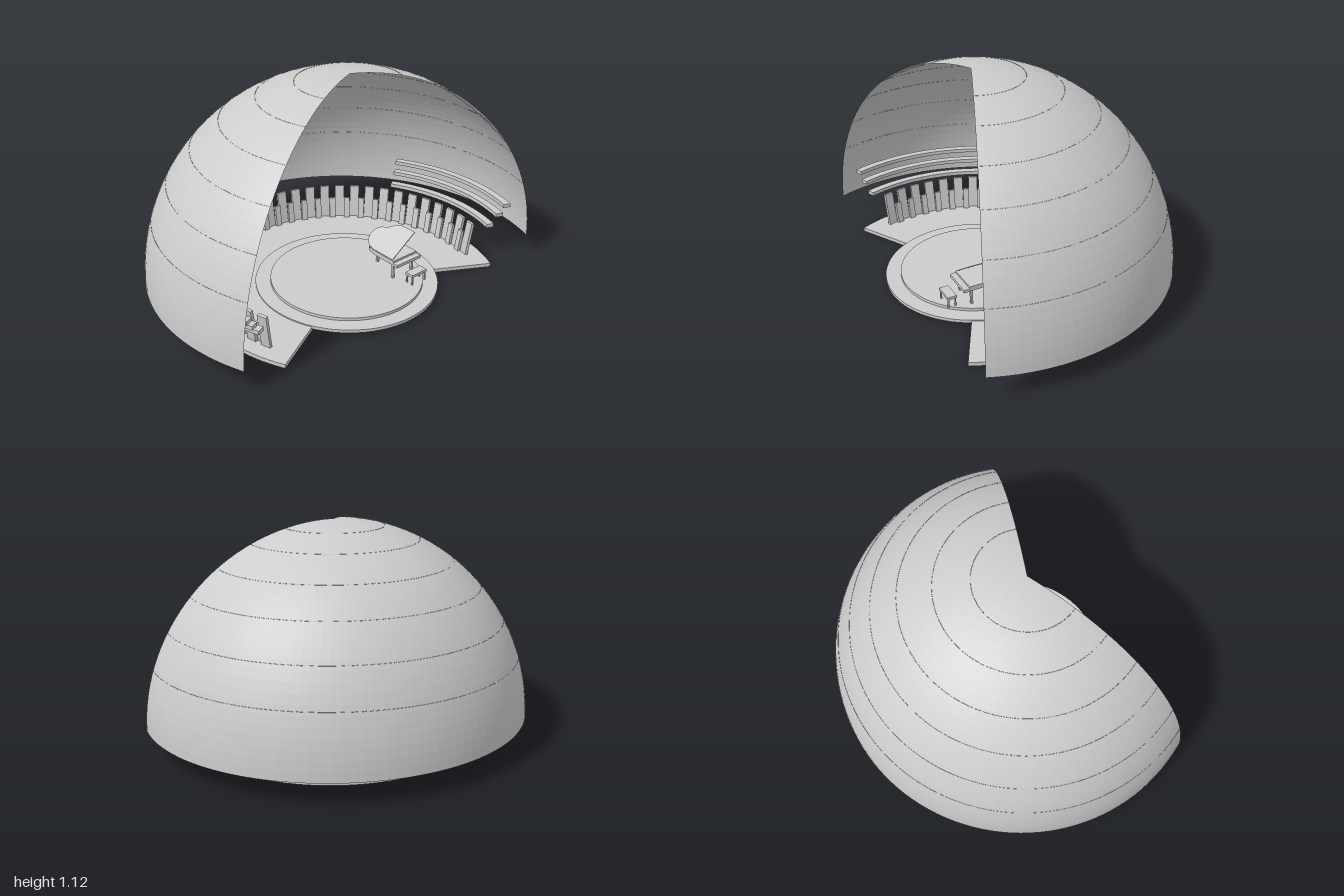
import * as THREE from 'three';

const RAD = Math.PI / 180;
const CZ = 0.27; // shared centre of dome, floor and stage along z

const stone = new THREE.MeshStandardMaterial({ color: 0xcccccc, side: THREE.DoubleSide });
stone.name = 'light grey';

function add(parent, name, geometry, x = 0, y = 0, z = 0) {
  const mesh = new THREE.Mesh(geometry, stone);
  mesh.name = name;
  mesh.position.set(x, y, z);
  parent.add(mesh);
  return mesh;
}

// Box whose origin is the middle of its bottom face
const box = (w, h, d) => new THREE.BoxGeometry(w, h, d).translate(0, h / 2, 0);

// Flat extruded outline: shape y becomes z, thickness runs from y = 0 up to h
function slab(shape, h) {
  return new THREE.ExtrudeGeometry(shape, { depth: h, bevelEnabled: false, curveSegments: 12 })
    .rotateX(Math.PI / 2).translate(0, h, 0);
}

// Ring sector; angles in degrees from +z towards +x
function sector(r0, r1, a0, a1, h) {
  const n = Math.ceil((a1 - a0) / 3);
  const points = [];
  const at = (r, i) => {
    const a = (a0 + (a1 - a0) * i / n) * RAD;
    points.push(new THREE.Vector2(r * Math.sin(a), r * Math.cos(a)));
  };
  for (let i = 0; i <= n; i++) at(r1, i);
  for (let i = n; i >= 0; i--) at(r0, i);
  return slab(new THREE.Shape(points), h);
}

function makeDome() {
  const group = new THREE.Group();
  group.name = 'dome';
  group.position.set(0, 0.116, CZ);
  const gap = 66.7; // half angle of the front opening
  const sweep = (360 - 2 * gap) * RAD;
  // Faceted shell with a wedge open at the front
  const shell = new THREE.SphereGeometry(1, 80, 32, (90 + gap) * RAD, sweep, 0, Math.PI / 2).toNonIndexed();
  shell.computeVertexNormals();
  add(group, 'domeShell', shell);
  // Hairline seams on the outside of the shell
  for (const elevation of [18, 29.5, 41.3, 52.3, 64, 75]) {
    const e = elevation * RAD;
    const seam = new THREE.TorusGeometry(Math.cos(e), 0.001, 4, 80, sweep)
      .rotateZ((gap - 90) * RAD).rotateX(-Math.PI / 2);
    add(group, 'domeSeam', seam, 0, Math.sin(e), 0);
  }
  return group;
}

// Leaning wall panels, tall ones behind and short ones in the gaps
function makePanels() {
  const group = new THREE.Group();
  group.name = 'panels';
  group.position.set(0, 0.02, CZ);
  const count = 32, from = 73, to = 287;
  const step = (to - from) / (count - 1);
  const place = (name, geometry, angle, radius) => {
    const pivot = new THREE.Group();
    pivot.name = name + 'Pivot';
    pivot.rotation.y = angle * RAD;
    add(pivot, name, geometry, 0, 0, radius).rotation.x = 9 * RAD;
    group.add(pivot);
  };
  const tall = box(0.05, 0.178, 0.016), short = box(0.032, 0.115, 0.016);
  for (let i = 0; i < count; i++) {
    place('tallPanel', tall, from + i * step, 0.685);
    if (i < count - 1) place('shortPanel', short, from + (i + 0.5) * step, 0.668);
  }
  return group;
}

function makePiano() {
  const group = new THREE.Group();
  group.name = 'piano';
  group.position.set(0.23, 0.04, 0.36);

  // Curved case: straight bass side at -x, keyboard towards +z
  const outline = new THREE.Shape();
  outline.moveTo(-0.08, 0.09);
  outline.lineTo(-0.08, -0.04);
  outline.bezierCurveTo(-0.08, -0.15, 0.02, -0.15, 0.035, -0.09);
  outline.bezierCurveTo(0.045, -0.04, 0.082, -0.05, 0.082, 0.02);
  outline.lineTo(0.082, 0.09);
  add(group, 'pianoCase', slab(outline, 0.024), 0, 0.082, 0);
  add(group, 'keyboard', box(0.165, 0.016, 0.03), 0, 0.08, 0.105);

  // Raised lid hinged on the straight side
  const lid = add(group, 'pianoLid', slab(outline, 0.004).translate(0.08, 0, -0.01), -0.075, 0.106, 0);
  lid.scale.x = 1.13;
  lid.rotation.z = 35 * RAD;

  for (const [x, z] of [[-0.065, 0.075], [0.065, 0.075], [-0.015, -0.09]]) {
    add(group, 'pianoLeg', box(0.012, 0.082, 0.012), x, 0, z);
  }

  // Bench
  add(group, 'benchSeat', box(0.1, 0.014, 0.048), 0.003, 0.045, 0.17);
  for (const x of [-0.04, 0.046]) for (const z of [0.152, 0.188]) {
    add(group, 'benchLeg', box(0.007, 0.046, 0.007), x, 0, z);
  }
  return group;
}

export function createModel() {
  const model = new THREE.Group();
  model.name = 'concertShell';
  model.add(makeDome(), makePanels(), makePiano());

  // Floor ring sector around a two-tier round stage
  add(model, 'floor', sector(0.45, 0.77, 61.7, 298.3, 0.02), 0, 0, CZ);
  add(model, 'stageRing', new THREE.CylinderGeometry(0.46, 0.46, 0.016, 72), 0, 0.018, CZ);
  add(model, 'stageDisc', new THREE.CylinderGeometry(0.384, 0.384, 0.036, 72), 0, 0.023, CZ);

  // Three curved ledges on each side
  for (const [r, y] of [[0.91, 0.278], [0.87, 0.23], [0.82, 0.176]]) {
    add(model, 'leftLedge', sector(r - 0.04, r, 69, 120, 0.02), 0, y, CZ);
    add(model, 'rightLedge', sector(r - 0.04, r, 240, 291, 0.02), 0, y, CZ);
  }
  return model;
}
